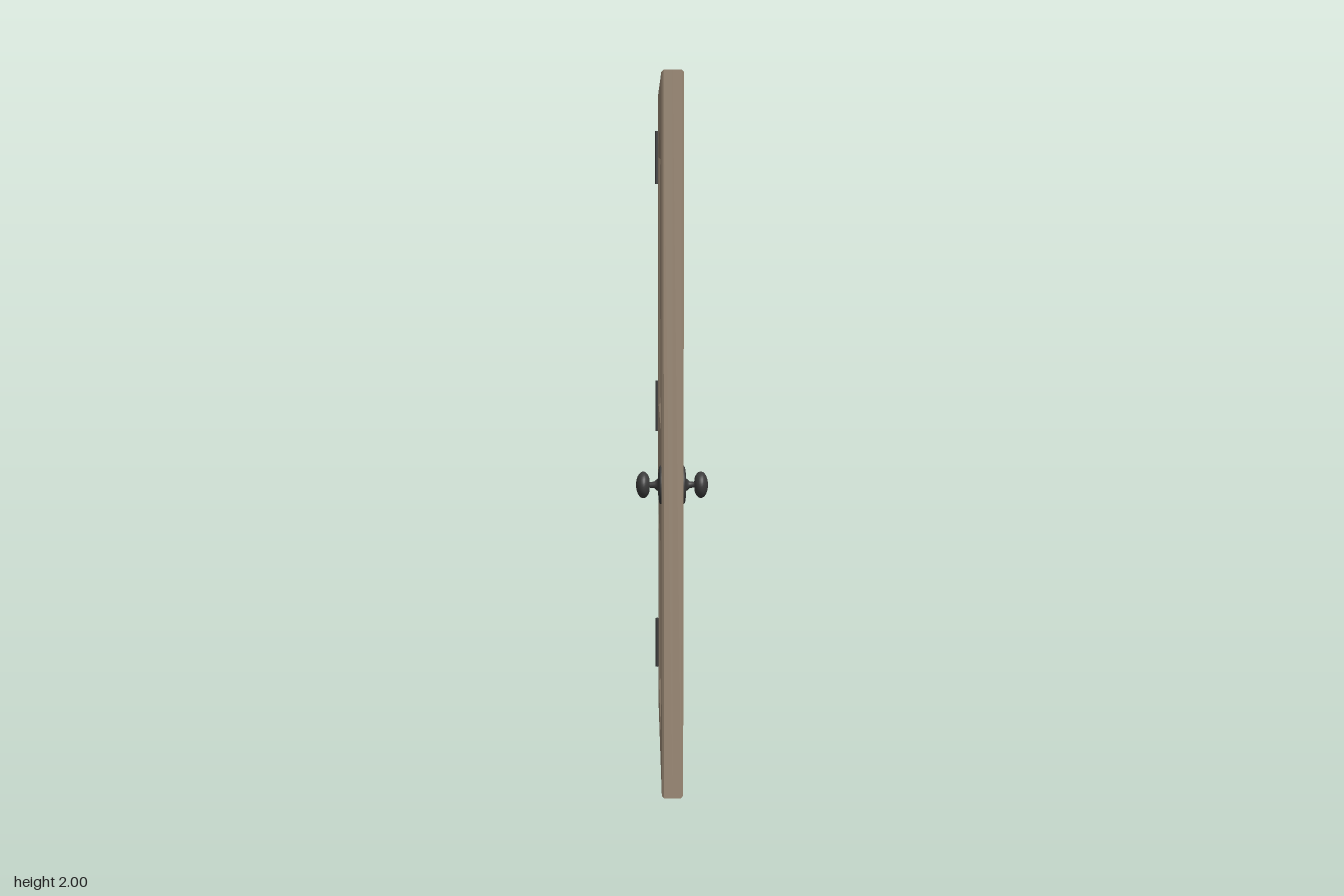
import * as THREE from 'three';

const wood = new THREE.MeshStandardMaterial({ color: 0x9c8a76, flatShading: true });
const metal = new THREE.MeshStandardMaterial({ color: 0x3c3c3c });

const HALF_W = 0.422, HALF_T = 0.03, BEVEL = 0.006, CENTRE_Z = 0.004;

function add(parent, name, geometry, material) {
  const mesh = new THREE.Mesh(geometry, material);
  mesh.name = name;
  parent.add(mesh);
  return mesh;
}

// Shrinks an outline towards the centre of its bounds by a distance d.
function inset(points, d) {
  const box = new THREE.Box2().setFromPoints(points);
  const c = box.getCenter(new THREE.Vector2());
  const s = box.getSize(new THREE.Vector2());
  return points.map(p => new THREE.Vector2(
    c.x + (p.x - c.x) * (1 - 2 * d / s.x),
    c.y + (p.y - c.y) * (1 - 2 * d / s.y)));
}

// Joins counter-clockwise loops { points, z } with strips of quads.
function loft(loops) {
  const pos = [];
  for (let k = 0; k + 1 < loops.length; k++) {
    const a = loops[k], b = loops[k + 1], n = a.points.length;
    for (let i = 0; i < n; i++) {
      const j = (i + 1) % n;
      for (const [l, m] of [[a, i], [a, j], [b, j], [a, i], [b, j], [b, i]])
        pos.push(l.points[m].x, l.points[m].y, l.z);
    }
  }
  const g = new THREE.BufferGeometry();
  g.setAttribute('position', new THREE.Float32BufferAttribute(pos, 3));
  g.computeVertexNormals();
  return g;
}

const outline = list => list.map(([x, y]) => new THREE.Vector2(x, y));
const rectangle = (w, y0, y1) => outline([[-w, y0], [w, y0], [w, y1], [-w, y1]]);

// Upper panel: square shoulders with a shallow arch between them.
function archedOutline() {
  const arch = [[0.28, 1.8], [0.245, 1.803], [0.215, 1.82], [0.14, 1.85], [0.07, 1.86]];
  const mirrored = arch.map(([x, y]) => [-x, y]).reverse();
  return outline([[-0.28, 1.025], [-0.14, 1.025], [0, 1.025], [0.14, 1.025], [0.28, 1.025],
    ...arch, [0, 1.865], ...mirrored]);
}

// Raises the middle of the bottom rail of the raised field a little.
function bowBottom(points) {
  const w = Math.max(...points.map(p => p.x));
  return points.map(p => p.y < 1.3
    ? new THREE.Vector2(p.x, p.y + 0.01 * (1 - (p.x / w) ** 2)) : p);
}

// Moulding that falls into a groove and rises to a flat field.
function addPanel(parent, name, points, shapeField) {
  const loops = [[0, HALF_T], [0.012, 0.019], [0.024, 0.019], [0.034, 0.025]]
    .map(([d, z], i) => ({ points: i > 1 ? shapeField(inset(points, d)) : inset(points, d), z }));
  add(parent, name + 'Moulding', loft(loops), wood);
  const field = new THREE.ShapeGeometry(new THREE.Shape(loops[3].points));
  add(parent, name + 'Field', field.translate(0, 0, loops[3].z), wood);
}

// One half of the door's thickness, facing local +z.
function doorHalf(name) {
  const half = new THREE.Group();
  half.name = name;
  const edge = rectangle(HALF_W, 0, 2);
  const rim = inset(edge, BEVEL);
  add(half, 'doorEdge', loft([
    { points: edge, z: 0 },
    { points: edge, z: HALF_T - BEVEL },
    { points: rim, z: HALF_T }]), wood);

  const upper = archedOutline();
  const lower = rectangle(0.28, 0.118, 0.67);
  const face = new THREE.Shape(rim);
  face.holes.push(new THREE.Path(upper), new THREE.Path(lower));
  add(half, 'doorFace', new THREE.ShapeGeometry(face).translate(0, 0, HALF_T), wood);
  addPanel(half, 'upperPanel', upper, bowBottom);
  addPanel(half, 'lowerPanel', lower, p => p);
  return half;
}

// Rose, neck and flattened round handle turned around one axis.
function knobGeometry() {
  const profile = outline([[0.053, 0.028], [0.053, 0.033], [0.049, 0.036], [0.036, 0.038],
    [0.018, 0.039], [0.014, 0.044], [0.009, 0.049], [0.008, 0.062]]);
  for (let i = 1; i <= 12; i++) {
    const a = THREE.MathUtils.lerp(0.25, Math.PI, i / 12);
    profile.push(new THREE.Vector2(Math.max(0, 0.037 * Math.sin(a)), 0.08 - 0.02 * Math.cos(a)));
  }
  return new THREE.LatheGeometry(profile, 32);
}

export function createModel() {
  const door = new THREE.Group();
  door.name = 'door';

  for (const side of [1, -1]) {
    const label = side > 0 ? 'left' : 'right';
    const half = doorHalf(label + 'DoorHalf');
    half.rotation.y = side * Math.PI / 2;
    half.position.z = CENTRE_Z;
    door.add(half);

    const knob = add(door, label + 'Knob', knobGeometry(), metal);
    knob.rotation.z = -side * Math.PI / 2;
    knob.position.set(0, 0.88, 0.345);
  }

  // Three hinges on the rear edge, each a leaf and a pin barrel.
  for (const y of [0.203, 1.003, 1.805]) {
    const hinge = new THREE.Group();
    hinge.name = 'hinge';
    hinge.position.set(0, y, CENTRE_Z - HALF_W);
    add(hinge, 'hingeLeaf', new THREE.BoxGeometry(0.042, 0.165, 0.005), metal)
      .position.set(-0.013, 0, -0.002);
    add(hinge, 'hingeBarrel', new THREE.CylinderGeometry(0.005, 0.005, 0.167, 12), metal)
      .position.set(-0.034, 0, -0.006);
    door.add(hinge);
  }
  return door;
}
